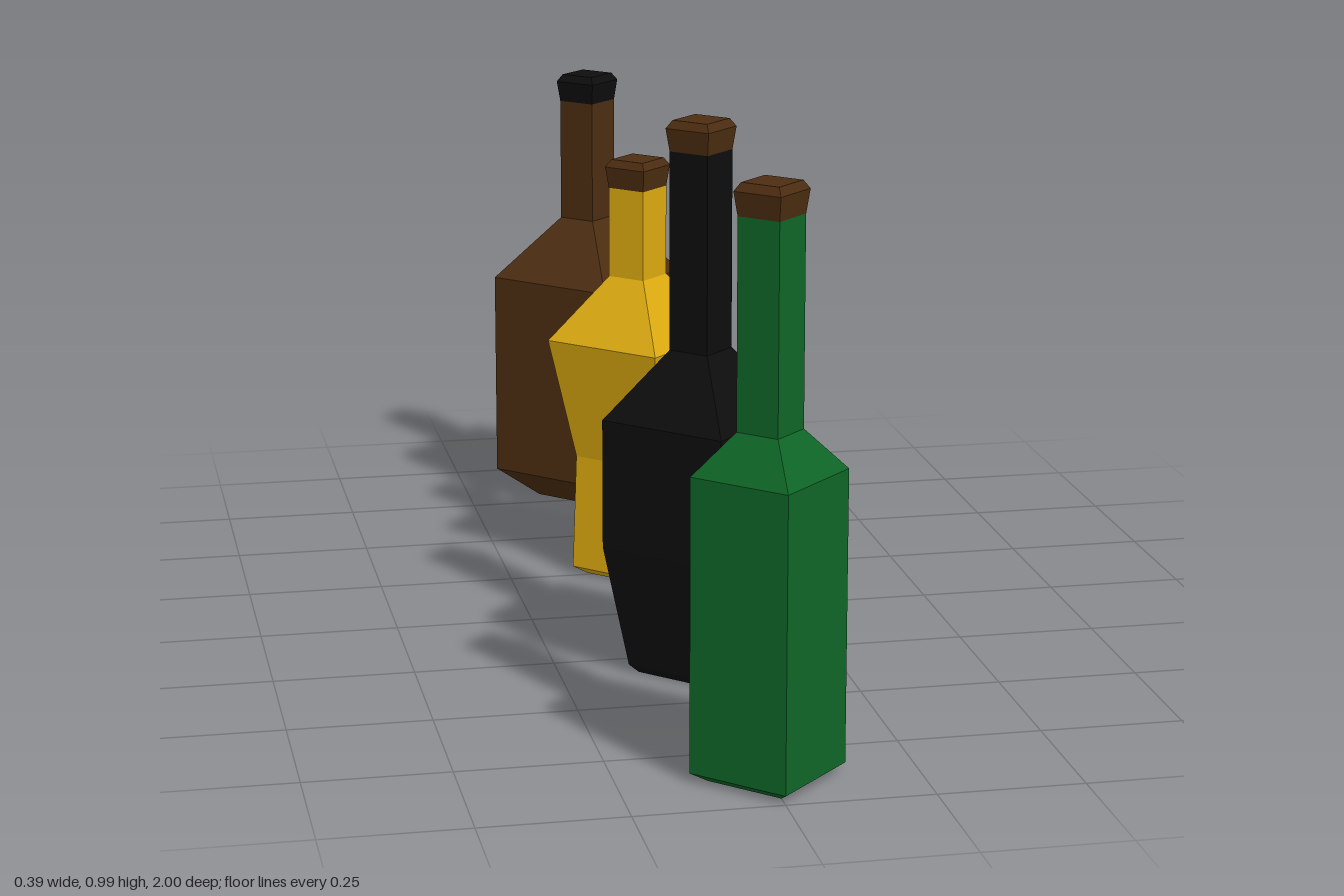
import * as THREE from 'three';
import { ConvexGeometry } from 'three/addons/geometries/ConvexGeometry.js';

function paint(name, color) {
  const m = new THREE.MeshStandardMaterial({ color });
  m.name = name;
  return m;
}

// Four-sided faceted solid turned from [radius, height] pairs, corners on the axes
function facetedLathe(profile) {
  const points = profile.map(([r, y]) => new THREE.Vector2(r, y));
  const geometry = new THREE.LatheGeometry(points, 4).toNonIndexed();
  geometry.computeVertexNormals();
  return geometry;
}

function addMesh(parent, name, geometry, material) {
  const mesh = new THREE.Mesh(geometry, material);
  mesh.name = name;
  parent.add(mesh);
  return mesh;
}

const NECK = 0.055;
const SHOULDER_TOP = 0.585;

function makeBottle(name, z, body, capBase, glass, capMaterial) {
  const bottle = new THREE.Group();
  bottle.name = name;
  bottle.position.z = z;
  // Body with closed base, shoulder and neck
  addMesh(bottle, 'glass', facetedLathe([
    [0, 0], ...body, [NECK, SHOULDER_TOP], [NECK, capBase],
  ]), glass);
  // Flared cap with a bevelled top
  addMesh(bottle, 'cap', facetedLathe([
    [0, capBase], [NECK, capBase], [0.062, capBase + 0.04],
    [0.05, capBase + 0.054], [0, capBase + 0.054],
  ]), capMaterial);
  return bottle;
}

export function createModel() {
  const green = paint('green glass', 0x0f6527);
  const black = paint('black', 0x0d0d0e);
  const yellow = paint('yellow glass', 0xdcaa10);
  const brown = paint('brown', 0x4c2d11);

  const model = new THREE.Group();
  model.name = 'bottleRow';

  // Straight slim bottle
  model.add(makeBottle('greenBottle', 0.87,
    [[0.1, 0], [0.13, 0.015], [0.13, 0.515]], 0.935, green, brown));

  // Bottle tapering towards its base
  model.add(makeBottle('blackBottle', 0.325,
    [[0.11, 0], [0.128, 0.015], [0.174, 0.235], [0.174, 0.465]], 0.935, black, brown));

  // Waisted bottle
  model.add(makeBottle('yellowBottle', -0.26,
    [[0.1, 0], [0.128, 0.015], [0.12, 0.235], [0.173, 0.465]], 0.755, yellow, brown));

  // Broad bottle
  const broad = makeBottle('brownBottle', -0.807,
    [[0.105, 0], [0.193, 0.06], [0.193, 0.465]], 0.825, brown, black);
  model.add(broad);

  // Raised facet on one shoulder of the broad bottle
  const facet = [
    [0.16, 0.465, -0.033], [0.033, 0.465, -0.16],
    [0.133, 0.523, -0.03], [0.03, 0.523, -0.15],
    [0.045, 0.565, -0.03], [0.03, 0.565, -0.045],
    [0.03, 0.465, -0.03],
  ].map((p) => new THREE.Vector3(...p));
  addMesh(broad, 'shoulderFacet', new ConvexGeometry(facet), brown);

  return model;
}
